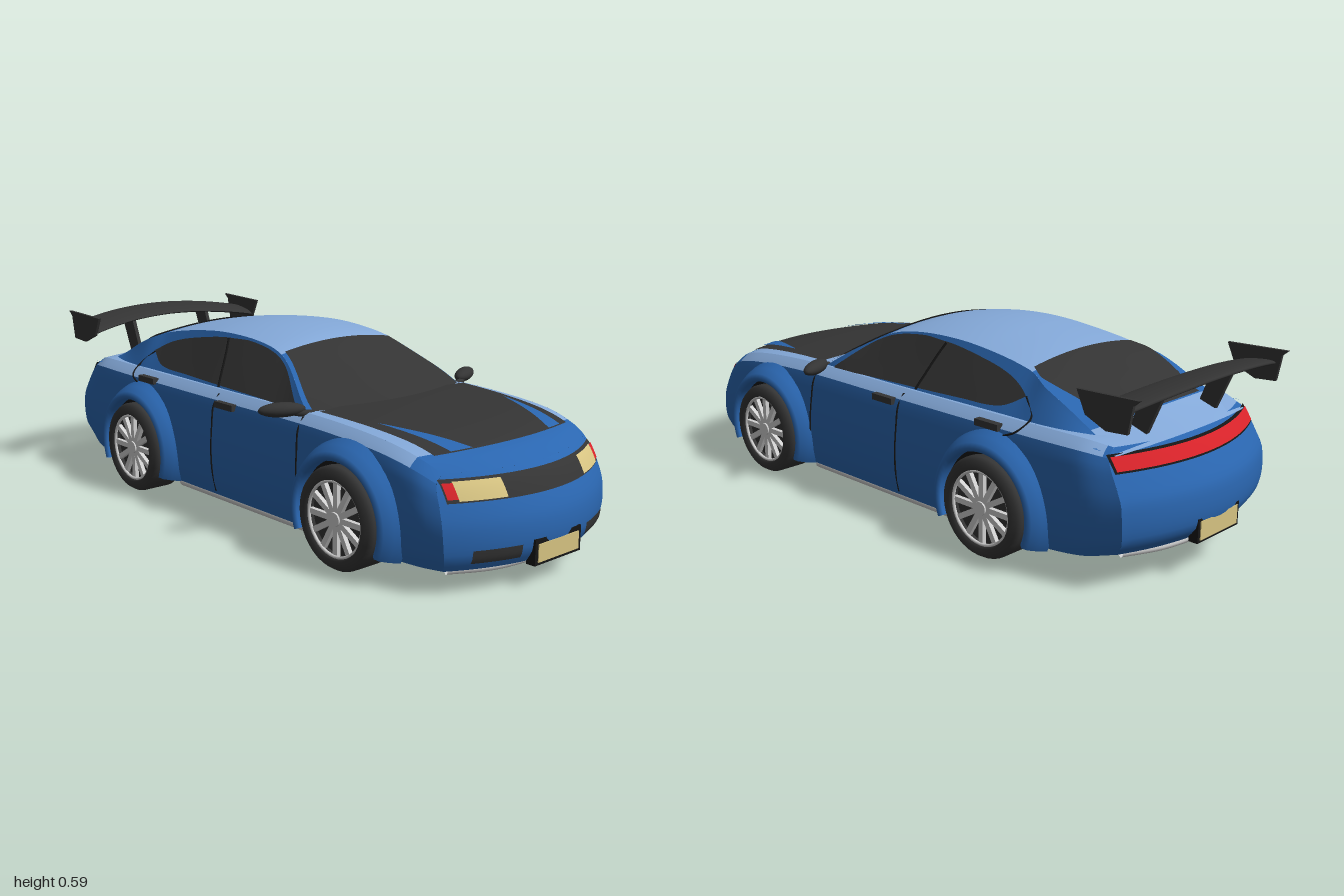
import * as THREE from 'three';
import { mergeGeometries } from 'three/addons/utils/BufferGeometryUtils.js';

const paint = (name, color) => new THREE.MeshStandardMaterial({ name, color, side: THREE.DoubleSide });
const blue = paint('blue', 0x2a66b0), sky = paint('lightBlue', 0x84a9d9), charcoal = paint('charcoal', 0x343434);
const black = paint('black', 0x161616), floorCol = paint('underbody', 0x06202e), silver = paint('silver', 0xd2d2d2);
const tan = paint('lampTan', 0xd8c583), red = paint('red', 0xd8232a);
const lerp = THREE.MathUtils.lerp;

// Smooth interpolation through [t, value] keys in rising t
const curve = keys => t => {
  const n = keys.length - 1;
  if (t <= keys[0][0]) return keys[0][1];
  if (t >= keys[n][0]) return keys[n][1];
  let i = 0;
  while (t > keys[i + 1][0]) i++;
  const slope = k => {
    const a = keys[Math.max(k - 1, 0)], b = keys[Math.min(k + 1, n)];
    return (b[1] - a[1]) / (b[0] - a[0]);
  };
  const [t0, a] = keys[i], [t1, b] = keys[i + 1], h = t1 - t0, u = (t - t0) / h, u2 = u * u, u3 = u2 * u;
  return (2 * u3 - 3 * u2 + 1) * a + (u3 - 2 * u2 + u) * h * slope(i) + (3 * u2 - 2 * u3) * b + (u3 - u2) * h * slope(i + 1);
};

// Surface from a function of u, v in 0..1
function grid(nu, nv, fn) {
  const pos = [], idx = [];
  for (let i = 0; i <= nu; i++) for (let j = 0; j <= nv; j++) pos.push(...fn(i / nu, j / nv));
  for (let i = 0; i < nu; i++) for (let j = 0; j < nv; j++) {
    const a = i * (nv + 1) + j, b = a + nv + 1;
    idx.push(a, b, a + 1, b, b + 1, a + 1);
  }
  const g = new THREE.BufferGeometry();
  g.setAttribute('position', new THREE.Float32BufferAttribute(pos, 3));
  g.setIndex(idx);
  g.computeVertexNormals();
  return g;
}

// Lower body: width, top, bottom and crown along the length; f runs from sill (0) to top edge (1)
const width = curve([[-1, .345], [-.85, .375], [-.5, .385], [0, .385], [.7, .385], [.9, .372], [1, .35]]);
const topY = curve([[-1, .395], [-.85, .408], [-.5, .408], [0, .405], [.4, .403], [.7, .383], [.9, .353], [1, .325]]);
const lowY = curve([[-1, .11], [-.85, .085], [-.6, .07], [1, .07]]);
const crown = curve([[-1, 0], [-.85, .006], [.7, .01], [.9, .008], [1, 0]]);
const level = curve([[0, .95], [.15, .985], [.42, 1], [.68, .985], [.92, .945], [1, .86]]);
const noseIn = curve([[0, .02], [.15, 0], [.45, 0], [.68, .02], [.92, .055], [1, .08]]);
const tailIn = curve([[0, .03], [.15, 0], [.5, 0], [.68, .025], [.92, .07], [1, .09]]);
const bodyZ = (z, x, f) => {
  const q = (Math.max(Math.abs(z) - .5, 0) / .5) ** 2, b = (x / .38) ** 2;
  return z > 0 ? z - q * (noseIn(f) + .13 * b) : z + q * (tailIn(f) + .1 * b);
};
const bodySide = (s, z, f, out = 0) => {
  const x = width(z) * level(f);
  return [s * (x + out), lerp(lowY(z), topY(z), f), bodyZ(z, x, f)];
};
const bodyTop = (z, x, up = 0) => [x, topY(z) + crown(z) * (1 - (x / (width(z) * .86)) ** 2) + up, bodyZ(z, x, 1)];
const sideAt = (s, z, y, out) => bodySide(s, z, (y - lowY(z)) / (topY(z) - lowY(z)), out);

// Cabin: centre height and roof-edge half width along the length
const cabinY = curve([[-.92, .398], [-.78, .447], [-.65, .502], [-.5, .55], [-.3, .58], [-.15, .587], [0, .577], [.1, .555], [.25, .487], [.38, .423], [.46, .385]]);
const edgeX = curve([[-.92, .31], [-.8, .28], [-.6, .27], [-.5, .24], [-.15, .228], [.1, .238], [.33, .315], [.46, .335]]);
const cabinZ = (z, x) => {
  const b = (x / .33) ** 2;
  return z - (z > .1 ? .06 * Math.min((z - .1) / .3, 1) * b : 0) + (z < -.5 ? .06 * Math.min((-.5 - z) / .3, 1) * b : 0);
};
const cabinTop = (z, x, up = 0) => [x, cabinY(z) - .022 * (x / edgeX(z)) ** 2 + up, cabinZ(z, x)];
const cabinSide = (s, z, y, out = 0) => {
  const e = edgeX(z), ey = cabinY(z) - .022, k = (y - .39) / Math.max(ey - .39, .005);
  const x = lerp(.333, e, Math.min(Math.max(k, 0), 1)) + out;
  return [s * x, y, cabinZ(z, x)];
};

export function createModel() {
  const car = new THREE.Group();
  car.name = 'car';
  const add = (name, geo, mat, parent = car) => {
    const m = new THREE.Mesh(geo, mat);
    m.name = name;
    parent.add(m);
    return m;
  };
  const box = (name, mat, w, h, d, x, y, z) => add(name, new THREE.BoxGeometry(w, h, d).translate(x, y, z), mat);
  const tube = (name, pts, r, mat) => add(name, new THREE.TubeGeometry(
    new THREE.CatmullRomCurve3(pts.map(p => new THREE.Vector3(...p))), 24, r, 8), mat);
  // Flat plate outlined in z, y
  const plate = (name, pts, t, x, mat) => {
    const g = new THREE.ExtrudeGeometry(new THREE.Shape(pts.map(p => new THREE.Vector2(...p))), { depth: t, bevelEnabled: false });
    add(name, g.rotateY(-Math.PI / 2).translate(x + t / 2, 0, 0), mat);
  };
  // Thin skin on the nose (s = 1) or tail (s = -1)
  const endPatch = (name, s, x0, x1, y0, y1, mat, out) => add(name, grid(16, 5, (u, v) => {
    const y = lerp(y0, y1, v), f = (y - lowY(s)) / (topY(s) - lowY(s)), x = lerp(x0, x1, u);
    return [x, y, bodyZ(s, x, f) + s * out];
  }), mat);

  // Body shell
  for (const s of [1, -1]) {
    add('bodySide', grid(64, 14, (u, v) => bodySide(s, lerp(-1, 1, u), v * .92)), blue);
    add('shoulder', grid(56, 2, (u, v) => bodySide(s, lerp(-.97, .86, u), lerp(.92, 1, v))), sky);
    add('frontCorner', grid(6, 2, (u, v) => bodySide(s, lerp(.86, 1, u), lerp(.92, 1, v))), blue);
    add('rearCorner', grid(2, 2, (u, v) => bodySide(s, lerp(-1, -.97, u), lerp(.92, 1, v))), blue);
    add(s > 0 ? 'frontBumper' : 'rearBumper', grid(24, 16, (u, v) => {
      const [x, y] = bodySide(1, s, v), px = x * (2 * u - 1);
      return [px, y, bodyZ(s, px, v)];
    }), blue);
  }
  const deck = (name, z0, z1, mat) => add(name, grid(40, 16, (u, v) => {
    const z = lerp(z0, z1, u);
    return bodyTop(z, width(z) * .86 * (2 * v - 1));
  }), mat);
  deck('upperDeck', -1, .86, sky);
  deck('noseTop', .86, 1, blue);
  add('floor', grid(48, 8, (u, v) => {
    const z = lerp(-1, 1, u), x = width(z) * .95 * (2 * v - 1);
    return [x, lowY(z), bodyZ(z, x, 0)];
  }), floorCol);

  // Cabin shell and glass
  const roofPart = (name, z0, z1, mat) => add(name, grid(30, 16, (u, v) => {
    const z = lerp(z0, z1, u);
    return cabinTop(z, edgeX(z) * (2 * v - 1));
  }), mat);
  roofPart('windshieldFrame', .1, .46, blue);
  roofPart('roof', -.51, .1, sky);
  roofPart('rearPillars', -.8, -.51, blue);
  roofPart('trunkSlope', -.92, -.8, sky);
  const glass = (name, z0, z1, half) => add(name, grid(30, 16, (u, v) => {
    const z = lerp(z0, z1, u);
    return cabinTop(z, half(z) * (2 * v - 1), .005);
  }), charcoal);
  glass('windshield', .43, .1, z => edgeX(z) - .014);
  glass('rearWindow', -.5, -.8, curve([[-.8, .2], [-.57, .25], [-.5, .225]]));
  const winLow = curve([[-.53, .465], [-.45, .428], [-.3, .42], [.32, .402]]);
  const winHigh = curve([[-.53, .468], [-.45, .505], [-.33, .532], [-.15, .553], [.07, .541], [.32, .41]]);
  for (const s of [1, -1]) {
    add('cabinSide', grid(60, 6, (u, v) => {
      const z = lerp(-.9, .44, u);
      return cabinSide(s, z, lerp(.39, Math.max(cabinY(z) - .022, .39), v));
    }), blue);
    add('sideWindow', grid(50, 6, (u, v) => {
      const z = lerp(-.53, .32, u);
      return cabinSide(s, z, lerp(winLow(z), Math.max(Math.min(winHigh(z), cabinY(z) - .028), winLow(z)), v), .005);
    }), charcoal);

    // Door seams and handles
    for (const [z0, z1] of [[.33, .35], [-.08, -.075]])
      tube('doorSeam', [.08, .15, .22, .3, .36, .395].map((y, i) => sideAt(s, lerp(z1, z0, i / 5), y, 0)), .003, black);
    tube('windowPillar', [.41, .46, .51, .55].map((y, i) => cabinSide(s, -.11 - .017 * i, y, .006)), .004, black);
    tube('rearDoorSeam', [sideAt(s, -.5, .36, 0), sideAt(s, -.56, .385, 0), cabinSide(s, -.59, .42, 0), cabinSide(s, -.53, .465, 0)], .003, black);
    for (const [z, y] of [[-.015, .37], [-.455, .385]]) {
      const p = sideAt(s, z, y, .004);
      box('doorHandle', charcoal, .022, .02, .09, ...p);
    }

    // Wing mirror
    const mirror = add('mirror', new THREE.SphereGeometry(1, 20, 12), charcoal);
    mirror.scale.set(.072, .022, .026);
    mirror.position.set(s * .395, .416, .29);
    mirror.rotation.y = s * .45;
    tube('mirrorArm', [[s * .31, .4, .33], [s * .345, .404, .32], [s * .38, .412, .3]], .011, charcoal);

    // Side skirt pipe
    add('skirtPipe', new THREE.CylinderGeometry(.015, .015, .66, 12).rotateX(Math.PI / 2).translate(s * .34, .057, .03), silver);
    // Blue cut on the bonnet corner
    add('bonnetCut', grid(12, 3, (u, v) =>
      bodyTop(lerp(.56, .885, u), s * lerp(lerp(.27, .165, u), lerp(.27, .235, u), v), .008)), blue);
  }

  // Bonnet panel
  add('bonnet', grid(30, 16, (u, v) => bodyTop(lerp(.36, .885, u), lerp(.31, .285, u) * (2 * v - 1), .004)), charcoal);

  // Nose and tail details
  endPatch('grilleBand', 1, -.326, .326, .256, .314, charcoal, .003);
  for (const s of [1, -1]) {
    endPatch('headlight', 1, s * .165, s * .297, .261, .309, tan, .007);
    endPatch('turnSignal', 1, s * .297, s * .324, .266, .306, red, .007);
    endPatch('airIntake', 1, s * .14, s * .28, .092, .13, charcoal, .005);
  }
  endPatch('tailLightFrame', -1, -.33, .33, .335, .382, black, .003);
  endPatch('tailLight', -1, -.325, .325, .341, .377, red, .007);
  box('frontPlateFrame', black, .2, .075, .03, 0, .098, .985);
  box('frontPlate', tan, .176, .052, .006, 0, .095, 1);
  box('rearPlateFrame', black, .2, .072, .03, 0, .138, -.983);
  box('rearPlate', tan, .18, .056, .006, 0, .138, -.998);
  tube('frontLip', [[-.29, .057, .85], [-.17, .057, .91], [0, .057, .93], [.17, .057, .91], [.29, .057, .85]], .015, silver);
  tube('rearLip', [[-.29, .1, -.88], [-.17, .1, -.93], [0, .1, -.95], [.17, .1, -.93], [.29, .1, -.88]], .014, silver);

  // Rear wing
  add('wing', grid(24, 20, (u, v) => {
    const x = lerp(-.355, .355, u), k = (x / .36) ** 2, a = v * Math.PI * 2, d = .07 * Math.cos(a);
    return [x, .543 - .035 * k + .012 * Math.sin(a) - .15 * d, -.91 + .045 * k + d];
  }), charcoal);
  for (const s of [1, -1]) {
    plate('wingEndPlate', [[-.77, .555], [-.8, .49], [-.87, .46], [-.94, .465], [-.955, .545], [-.975, .562]], .01, s * .357, charcoal);
    plate('wingSupport', [[-.8, .4], [-.86, .4], [-.92, .54], [-.85, .53]], .014, s * .165, charcoal);
  }

  // Wheels and arches
  const flare = [[.166, .3], [.166, .42], [.178, .429], [.192, .42], [.208, .395], [.222, .365]];
  const well = [[.1, .388], [.168, .388]];
  const tyre = [[.11, -.06], [.138, -.067], [.152, -.05], [.152, .045], [.143, .06], [.118, .066], [.11, .05], [.11, -.06]];
  const profile = pts => pts.map(p => new THREE.Vector2(...p));
  const spokes = mergeGeometries(Array.from({ length: 12 }, (_, i) =>
    new THREE.BoxGeometry(.09, .014, .017).translate(.065, .046, 0).rotateY(i * Math.PI / 6)));
  for (const s of [1, -1]) for (const z of [.55, -.48]) {
    const arch = (name, pts, mat) => add(name, new THREE.LatheGeometry(profile(pts), 36, s > 0 ? Math.PI - .4 : -.4, Math.PI + .8)
      .rotateZ(-s * Math.PI / 2).translate(0, .152, z), mat);
    arch('wheelArch', flare, blue);
    arch('wheelWell', well, black);
    box('wellPlate', charcoal, .13, .006, .32, s * .295, .067, z);
    const wheel = new THREE.Group();
    wheel.name = 'wheel';
    wheel.position.set(s * .368, .152, z);
    wheel.rotation.z = -s * Math.PI / 2;
    car.add(wheel);
    add('tyre', new THREE.LatheGeometry(profile(tyre), 40), charcoal, wheel);
    add('rimBack', new THREE.CylinderGeometry(.111, .111, .09, 32).translate(0, -.01, 0), charcoal, wheel);
    add('spokes', spokes, silver, wheel);
    add('hub', new THREE.CylinderGeometry(.02, .026, .025, 20).translate(0, .045, 0), silver, wheel);
    add('rimRing', new THREE.TorusGeometry(.11, .005, 8, 40).rotateX(Math.PI / 2).translate(0, .053, 0), silver, wheel);
  }
  return car;
}
